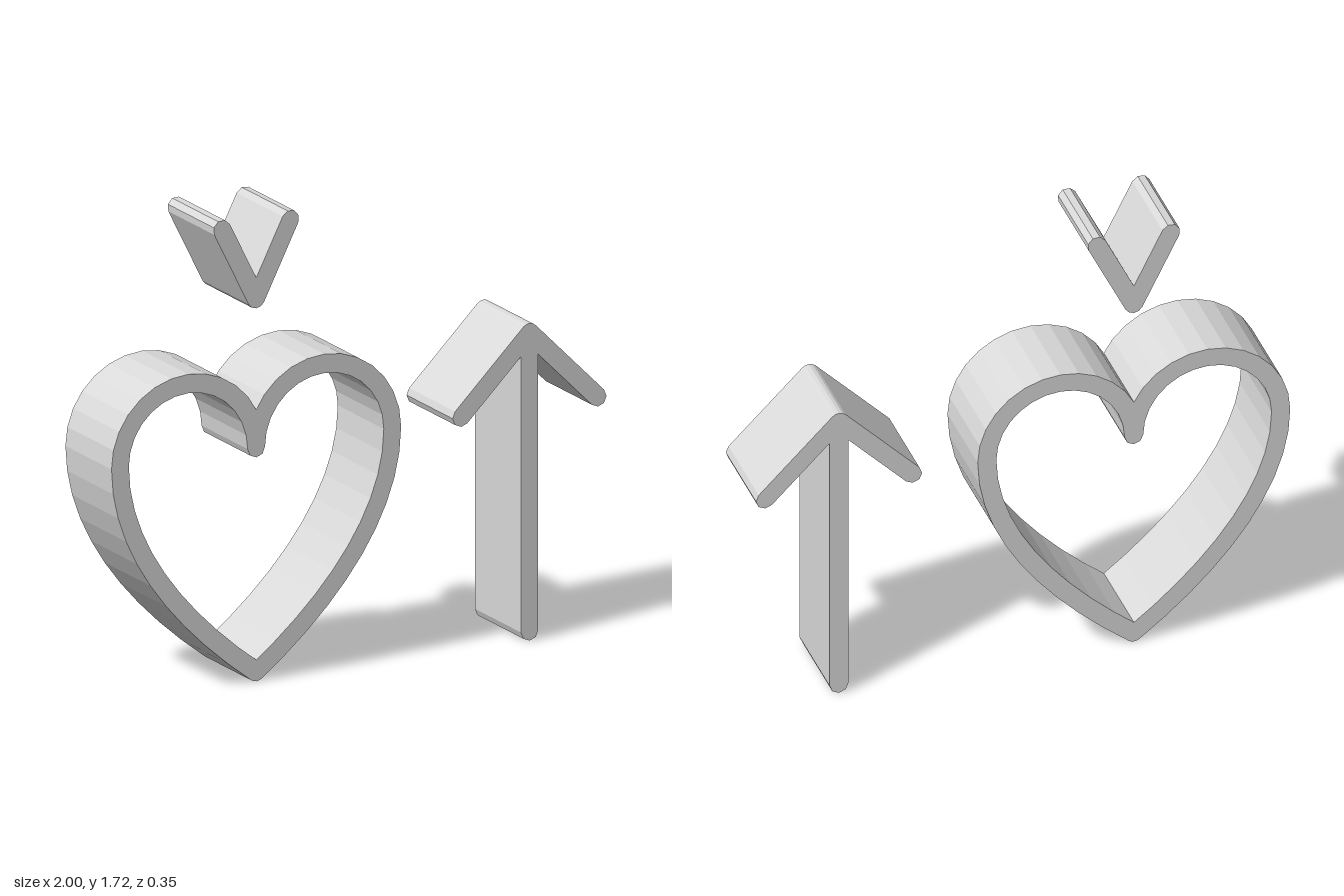
import * as THREE from 'three';

const R = 0.035;      // half the stroke width
const DEPTH = 0.346;
const HEART_X = -0.415, ARROW_X = 0.689;
const V = (x, y) => new THREE.Vector2(x, y);

// points on a round stroke end, angles in degrees
function arc(cx, cy, from, to, n = 2) {
  return Array.from({ length: n + 1 }, (_, i) => {
    const a = THREE.MathUtils.degToRad(from + (to - from) * i / n);
    return V(cx + R * Math.cos(a), cy + R * Math.sin(a));
  });
}

// completes a right half outline, which starts and ends on x = 0
const mirror = half => half.concat(half.slice(1, -1).reverse().map(p => V(-p.x, p.y)));

// cuts a line at x = 0 and keeps the right side
function clip(points) {
  const out = [];
  points.forEach((p, i) => {
    const q = points[i - 1];
    if (q && (q.x < 0) !== (p.x < 0)) {
      const c = q.clone().lerp(p, q.x / (q.x - p.x));
      c.x = 0;
      out.push(c);
    }
    if (p.x >= 0) out.push(p);
  });
  return out;
}

function slab(name, shape, x, material) {
  const geometry = new THREE.ExtrudeGeometry(shape, { depth: DEPTH, bevelEnabled: false });
  geometry.translate(x, 0, -DEPTH / 2);
  const mesh = new THREE.Mesh(geometry, material);
  mesh.name = name;
  return mesh;
}

function heart(material) {
  const lobe = 0.275, top = 0.864, outer = [], inner = [];
  const add = (p, t) => {
    outer.push(V(p.x - t.y * R, p.y + t.x * R));
    inner.push(V(p.x + t.y * R, p.y - t.x * R));
  };
  // round lobe
  const n = 14;
  for (let i = 0; i < n; i++) {
    const a = Math.PI * (1 - i / n);
    add(V(lobe + lobe * Math.cos(a), top + lobe * Math.sin(a)), V(Math.sin(a), -Math.cos(a)));
  }
  // side sweeping down to the tip
  const side = new THREE.CubicBezierCurve(V(2 * lobe, top), V(2 * lobe, 0.57), V(0.33, 0.28), V(0, R));
  for (let i = 0; i <= 10; i++) add(side.getPoint(i / 10), side.getTangent(i / 10));

  const t = side.getTangent(1);
  const tipAngle = THREE.MathUtils.radToDeg(Math.atan2(t.x, -t.y));
  const outerHalf = clip(outer).concat(arc(0, R, tipAngle, -90).slice(1));
  const innerHalf = arc(0, top, -90, 0).concat(clip(inner.slice(1)));
  const shape = new THREE.Shape(mirror(outerHalf).reverse());
  shape.holes.push(new THREE.Path(mirror(innerHalf)));
  return slab('heartOutline', shape, HEART_X, material);
}

function chevron(material) {
  const base = 1.416, dx = 0.138, dy = 0.275;
  const a = Math.atan2(dy, dx), deg = THREE.MathUtils.radToDeg(a);
  const half = [
    ...arc(0, base, -90, deg - 90),
    ...arc(dx, base + dy, deg - 90, deg + 90, 4),
    V(0, base + R / Math.cos(a)),
  ];
  return slab('chevron', new THREE.Shape(mirror(half)), HEART_X, material);
}

function arrow(material) {
  const tip = 1.14, reach = 0.276;
  const half = [
    ...arc(0, R, -90, 0),
    V(R, tip - R - R * Math.SQRT2),          // shaft meets head
    ...arc(reach, tip - reach, -135, 45, 4), // end of the arm
    ...arc(0, tip, 45, 90),
  ];
  return slab('upArrow', new THREE.Shape(mirror(half)), ARROW_X, material);
}

export function createModel() {
  const grey = new THREE.MeshStandardMaterial({ color: 0xd9d9d9, flatShading: true });
  grey.name = 'light grey';
  const group = new THREE.Group();
  group.name = 'heartAndArrow';
  group.add(heart(grey), chevron(grey), arrow(grey));
  return group;
}
